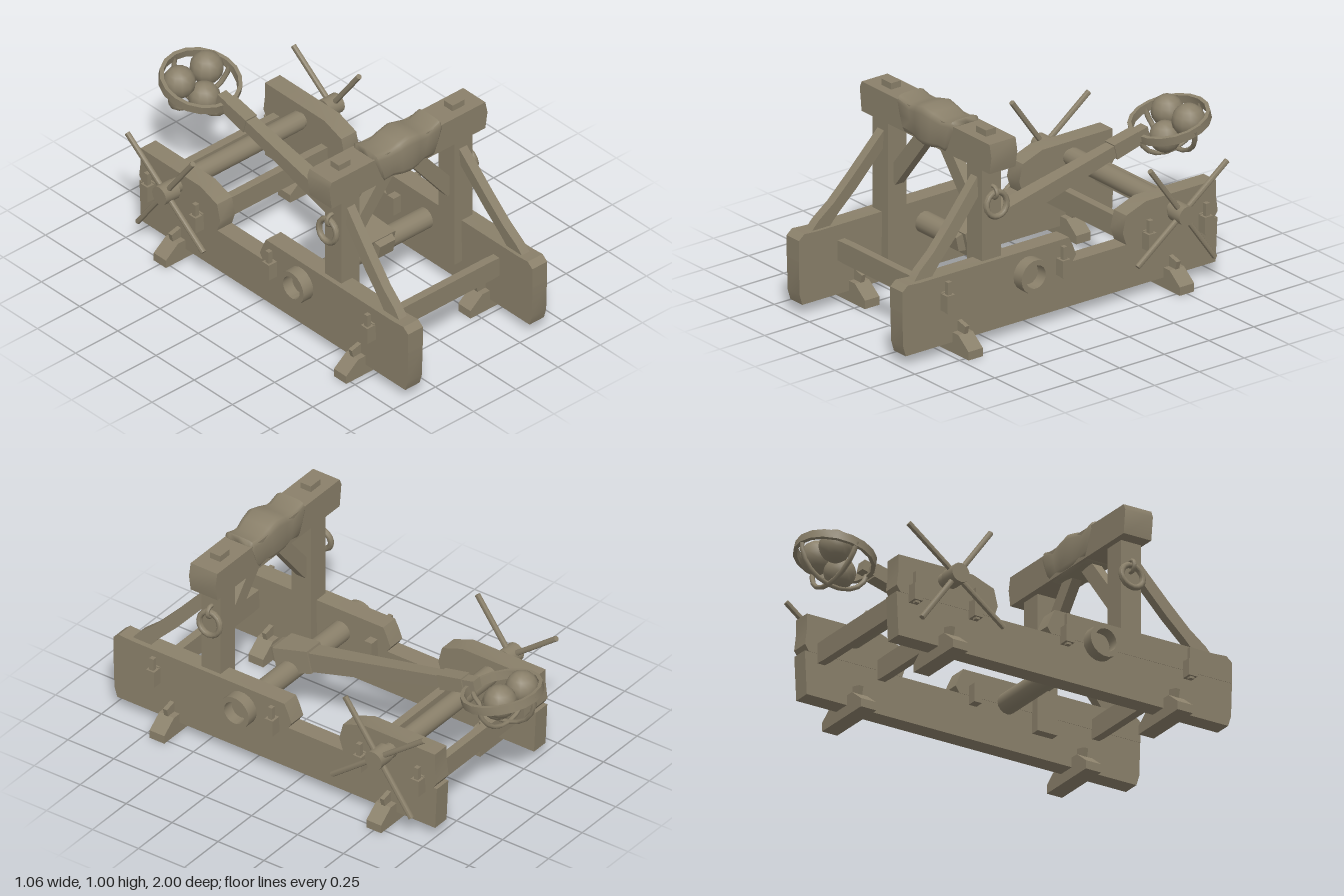
import * as THREE from 'three';
import { toCreasedNormals } from 'three/addons/utils/BufferGeometryUtils.js';

export function createModel() {
  const wood = new THREE.MeshStandardMaterial({ color: 0x8a806a });
  wood.name = 'weathered wood';
  const model = new THREE.Group();
  model.name = 'catapult';

  const add = (name, geo, parent = model, crease = 0.6) => {
    const mesh = new THREE.Mesh(toCreasedNormals(geo, crease), wood);
    mesh.name = name;
    parent.add(mesh);
    return mesh;
  };
  const box = (name, w, h, d, x, y, z, parent) => {
    const m = add(name, new THREE.BoxGeometry(w, h, d), parent);
    m.position.set(x, y, z);
    return m;
  };
  // plate from a (z, y) outline, centred on x = cx
  const plate = (pts, cx, w) => {
    const shape = new THREE.Shape(pts.map(p => new THREE.Vector2(p[0], p[1])));
    const g = new THREE.ExtrudeGeometry(shape, { depth: w, bevelEnabled: false });
    return g.rotateY(-Math.PI / 2).translate(cx + w / 2, 0, 0);
  };
  // plate from an (x, y) outline, centred on z = cz
  const frontPlate = (pts, cz, d) => {
    const shape = new THREE.Shape(pts.map(p => new THREE.Vector2(p[0], p[1])));
    return new THREE.ExtrudeGeometry(shape, { depth: d, bevelEnabled: false }).translate(0, 0, cz - d / 2);
  };
  // tapered bar between two points
  const bar = (name, a, b, w0, h0, w1, h1) => {
    const A = new THREE.Vector3(...a), B = new THREE.Vector3(...b);
    const g = new THREE.BoxGeometry(1, 1, A.distanceTo(B));
    const p = g.attributes.position;
    for (let i = 0; i < p.count; i++) {
      const end = p.getZ(i) > 0;
      p.setXY(i, p.getX(i) * (end ? w1 : w0), p.getY(i) * (end ? h1 : h0));
    }
    const m = add(name, g);
    m.position.copy(A).add(B).multiplyScalar(0.5);
    m.lookAt(B);
    return m;
  };
  const xCylinder = (name, r, len, x, y, z, sides = 16) => {
    const m = add(name, new THREE.CylinderGeometry(r, r, len, sides).rotateZ(Math.PI / 2));
    m.position.set(x, y, z);
    return m;
  };

  for (const s of [-1, 1]) {
    // side rails
    add('lowerRail', plate([[-0.75, 0.05], [0.98, 0.05], [0.995, 0.1], [1, 0.26], [-0.76, 0.26]], s * 0.368, 0.085));
    add('frontUpperRail', plate([[0.05, 0.26], [1, 0.26], [1, 0.36], [0.97, 0.385], [0.9, 0.38], [0.07, 0.38], [0.05, 0.34], [0.03, 0.29]], s * 0.368, 0.088));
    add('rearUpperRail', plate([[-0.74, 0.26], [-0.25, 0.26], [-0.23, 0.32], [-0.25, 0.4], [-0.36, 0.44], [-0.75, 0.44], [-0.75, 0.37], [-0.76, 0.29]], s * 0.368, 0.088));

    // feet with wedges
    for (const z of [0.68, -0.5]) {
      const c = s * 0.368;
      add('foot', frontPlate([[c - 0.157, 0], [c + 0.157, 0], [c + 0.157, 0.04], [c + 0.085, 0.097], [c - 0.085, 0.097], [c - 0.157, 0.04]], z, 0.08));
      for (const t of [-1, 1]) {
        box('footWedge', 0.07, 0.055, 0.022, c + t * 0.057, 0.115, z).rotation.z = -t * 0.25;
      }
    }

    // tenons and locking pegs
    for (const z of [0.765, 0.12, -0.36, -0.675]) {
      box('tenon', 0.06, 0.08, 0.044, s * 0.43, 0.26, z);
      box('tenonPeg', 0.022, 0.15, 0.022, s * 0.44, 0.285, z);
    }
    box('shortTie', 0.13, 0.09, 0.04, s * 0.345, 0.26, 0.12);

    // uprights
    box('upright', 0.108, 0.66, 0.105, s * 0.335, 0.49, 0.485);
    box('uprightTenon', 0.07, 0.18, 0.055, s * 0.337, 0.9, 0.475);

    // curved front brace, leaning outward toward the foot
    const brace = plate([[0.53, 0.78], [0.53, 0.69], [0.68, 0.52], [0.77, 0.43], [0.83, 0.36], [0.93, 0.36], [0.88, 0.42], [0.8, 0.485], [0.7, 0.59]], 0, 0.045);
    const bp = brace.attributes.position;
    for (let i = 0; i < bp.count; i++) bp.setX(i, bp.getX(i) + s * (0.365 - (bp.getY(i) - 0.36) * 0.08));
    add('frontBrace', brace);

    // diagonal brace to the crossbeam
    bar('diagonalBrace', [s * 0.3, 0.54, 0.48], [s * 0.04, 0.86, 0.48], 0.05, 0.075, 0.05, 0.07);

    // hanging ring and its staple
    const ring = add('hangingRing', new THREE.TorusGeometry(0.056, 0.014, 8, 16).rotateY(Math.PI / 2), model, 1.2);
    ring.position.set(s * 0.413, 0.645, 0.475);
    ring.rotation.z = s * 0.12;
    const staple = add('ringStaple', new THREE.TorusGeometry(0.028, 0.01, 6, 10), model, 1.2);
    staple.position.set(s * 0.396, 0.7, 0.48);

    // axle end collar
    const collar = new THREE.LatheGeometry([[0.055, -0.03], [0.08, -0.03], [0.08, 0.03], [0.055, 0.03], [0.055, -0.03]].map(p => new THREE.Vector2(...p)), 18);
    add('axleCollar', collar.rotateZ(Math.PI / 2)).position.set(s * 0.44, 0.27, 0.3);

    // winch hub and handles
    xCylinder('winchHub', 0.046, 0.085, s * 0.487, 0.37, -0.5);
    const ends = [[[0.62, -0.32], [0.12, -0.68]], [[0.56, -0.75], [0.18, -0.25]]];
    for (const [a, b] of ends) {
      const A = new THREE.Vector3(s * 0.492, ...a), B = new THREE.Vector3(s * 0.492, ...b);
      const rod = add('winchHandle', new THREE.CylinderGeometry(0.013, 0.013, A.distanceTo(B), 8), model, 1);
      rod.position.copy(A).add(B).multiplyScalar(0.5);
      rod.quaternion.setFromUnitVectors(new THREE.Vector3(0, 1, 0), A.sub(B).normalize());
    }
  }

  // cross ties, thicker toward the rails
  for (const z of [0.765, -0.36, -0.675]) {
    add('crossTie', frontPlate([[-0.42, 0.22], [-0.28, 0.21], [0.28, 0.21], [0.42, 0.22], [0.42, 0.305], [0.25, 0.31], [-0.25, 0.31], [-0.42, 0.305]], z, 0.04));
  }

  // winch roller and arm axle
  xCylinder('winchRoller', 0.045, 0.62, 0, 0.37, -0.515);
  xCylinder('winchSpindle', 0.035, 0.95, 0, 0.37, -0.51);
  xCylinder('armAxle', 0.05, 0.84, 0, 0.27, 0.3);

  // crossbeam with clipped ends
  add('crossbeam', frontPlate([[-0.455, 0.82], [0.455, 0.82], [0.468, 0.9], [0.455, 0.96], [-0.455, 0.96], [-0.468, 0.93]], 0.475, 0.145));

  // padded wrap: rounded square sections swept along x
  const sections = [ // x, bottom, top, back, front
    [-0.205, 0.825, 0.965, 0.4, 0.55], [-0.195, 0.815, 0.985, 0.395, 0.56], [-0.12, 0.815, 0.967, 0.4, 0.555],
    [-0.06, 0.808, 0.985, 0.395, 0.568], [0, 0.805, 1.0, 0.393, 0.575], [0.06, 0.808, 0.985, 0.395, 0.568],
    [0.12, 0.815, 0.967, 0.4, 0.555], [0.19, 0.815, 0.985, 0.395, 0.56], [0.205, 0.825, 0.965, 0.4, 0.55]];
  const N = 20, pos = [], idx = [];
  const curve = v => Math.sign(v) * Math.pow(Math.abs(v), 0.4);
  sections.forEach(([x, y0, y1, z0, z1]) => {
    for (let j = 0; j < N; j++) {
      const a = (j / N) * Math.PI * 2, c = curve(Math.cos(a)), t = curve(Math.sin(a));
      pos.push(x * (0.86 + 0.14 * c), (y0 + y1) / 2 + c * (y1 - y0) / 2, (z0 + z1) / 2 + t * (z1 - z0) / 2);
    }
  });
  for (let i = 0; i < sections.length - 1; i++) {
    for (let j = 0; j < N; j++) {
      const a = i * N + j, b = i * N + (j + 1) % N;
      idx.push(a, b, a + N, b, b + N, a + N);
    }
  }
  const last = (sections.length - 1) * N;
  for (let j = 1; j < N - 1; j++) idx.push(0, j + 1, j, last, last + j, last + j + 1);
  const wrap = new THREE.BufferGeometry();
  wrap.setAttribute('position', new THREE.Float32BufferAttribute(pos, 3));
  wrap.setIndex(idx);
  add('beamPadding', wrap, model, 1.1);

  // throwing arm, root block and sleeve
  bar('throwingArm', [0, 0.31, 0.33], [0, 0.56, -0.68], 0.09, 0.1, 0.05, 0.05);
  bar('armRoot', [0, 0.305, 0.37], [0, 0.345, 0.2], 0.145, 0.12, 0.1, 0.11);
  bar('armRootEnd', [0, 0.31, 0.405], [0, 0.32, 0.36], 0.09, 0.07, 0.11, 0.09);
  bar('armSleeve', [0, 0.512, -0.49], [0, 0.544, -0.62], 0.066, 0.075, 0.066, 0.068);

  // basket: tilted rim with two hoops beneath
  const basket = new THREE.Group();
  basket.name = 'basket';
  basket.position.set(0, 0.572, -0.815);
  basket.rotation.x = 0.24;
  model.add(basket);
  const rim = [[0.168, -0.02], [0.186, -0.02], [0.186, 0.02], [0.168, 0.02], [0.168, -0.02]];
  add('basketRim', new THREE.LatheGeometry(rim.map(p => new THREE.Vector2(...p)), 18), basket);
  for (const turn of [0, Math.PI / 2]) {
    const hoop = new THREE.TorusGeometry(0.175, 0.012, 6, 10, Math.PI);
    add('basketHoop', hoop.rotateZ(Math.PI).scale(1, 0.84, 1).rotateY(turn), basket, 1.2);
  }

  // stones
  for (const [x, y, z, r] of [[-0.08, 0.578, -0.865, 0.075], [0.078, 0.585, -0.86, 0.077], [0, 0.5, -0.79, 0.073]]) {
    add('stone', new THREE.SphereGeometry(r, 12, 8), model, 1.2).position.set(x, y, z);
  }
  return model;
}
